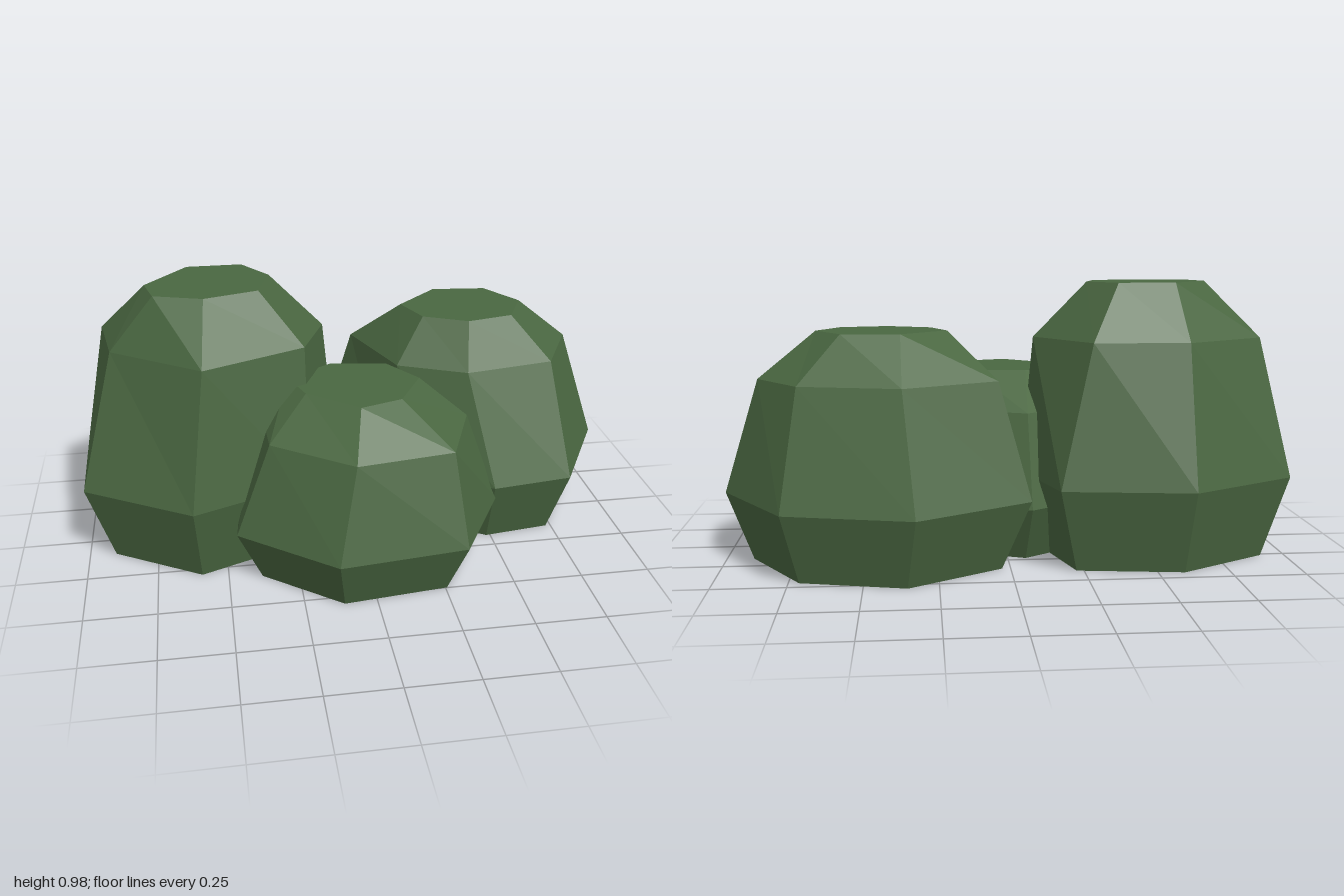
import * as THREE from 'three';

const material = new THREE.MeshStandardMaterial({ color: 0x4a6741, flatShading: true });

// One faceted lobe: irregular seven-sided [x, z] rings joined into bands.
// The foot is the widest ring drawn in towards the lobe's middle.
function lobe(name, height, widest, shoulder, crown) {
  const middle = [0, 1].map(k => widest.reduce((sum, p) => sum + p[k], 0) / widest.length);
  const foot = widest.map(p => p.map((v, k) => middle[k] + (v - middle[k]) * 0.82));
  const levels = [0, 0.3, 0.8, 1];
  const rings = [foot, widest, shoulder, crown].map((ring, r) =>
    ring.map(([x, z]) => [x, levels[r] * height, z]));
  const n = widest.length;
  const positions = [];
  const tri = (...corners) => corners.forEach(c => positions.push(...c));

  // Side bands
  for (let r = 0; r < rings.length - 1; r++) {
    for (let i = 0; i < n; i++) {
      const j = (i + 1) % n;
      const low = rings[r], high = rings[r + 1];
      tri(low[i], high[i], high[j]);
      tri(low[i], high[j], low[j]);
    }
  }
  // Flat crown and underside
  const top = rings[3], bottom = rings[0];
  for (let i = 1; i < n - 1; i++) {
    tri(top[0], top[i + 1], top[i]);
    tri(bottom[0], bottom[i], bottom[i + 1]);
  }

  const geometry = new THREE.BufferGeometry();
  geometry.setAttribute('position', new THREE.Float32BufferAttribute(positions, 3));
  geometry.computeVertexNormals();
  const mesh = new THREE.Mesh(geometry, material);
  mesh.name = name;
  return mesh;
}

export function createModel() {
  const bush = new THREE.Group();
  bush.name = 'bush';

  // Each ring starts at the back and runs round by way of +x
  bush.add(lobe('tallLobe', 0.98,
    [[-0.61, -0.52], [-0.16, -0.46], [-0.055, -0.105], [-0.19, 0.2], [-0.61, 0.37], [-0.99, 0.14], [-1, -0.3]],
    [[-0.6, -0.41], [-0.275, -0.39], [-0.1, -0.11], [-0.19, 0.11], [-0.55, 0.27], [-0.86, 0.05], [-0.9, -0.21]],
    [[-0.58, -0.26], [-0.38, -0.26], [-0.29, -0.12], [-0.34, 0.05], [-0.53, 0.11], [-0.7, 0.055], [-0.73, -0.07]]));

  bush.add(lobe('wideLobe', 0.815,
    [[0.325, -0.625], [0.765, -0.52], [0.995, -0.16], [0.785, 0.22], [0.485, 0.26], [0.11, 0.03], [-0.07, -0.39]],
    [[0.365, -0.505], [0.71, -0.42], [0.865, -0.2], [0.73, 0.06], [0.4, 0.12], [0.16, 0.01], [0.04, -0.33]],
    [[0.37, -0.35], [0.57, -0.33], [0.665, -0.17], [0.59, -0.015], [0.42, 0.025], [0.265, -0.05], [0.21, -0.195]]));

  bush.add(lobe('lowFrontLobe', 0.655,
    [[-0.08, -0.32], [0.34, -0.16], [0.495, 0.24], [0.31, 0.57], [-0.14, 0.62], [-0.465, 0.36], [-0.42, -0.1]],
    [[-0.07, -0.23], [0.25, -0.1], [0.38, 0.2], [0.27, 0.48], [-0.07, 0.53], [-0.34, 0.33], [-0.35, -0.03]],
    [[-0.08, -0.04], [0.12, -0.01], [0.215, 0.14], [0.12, 0.31], [-0.03, 0.36], [-0.2, 0.215], [-0.25, 0.07]]));

  return bush;
}
